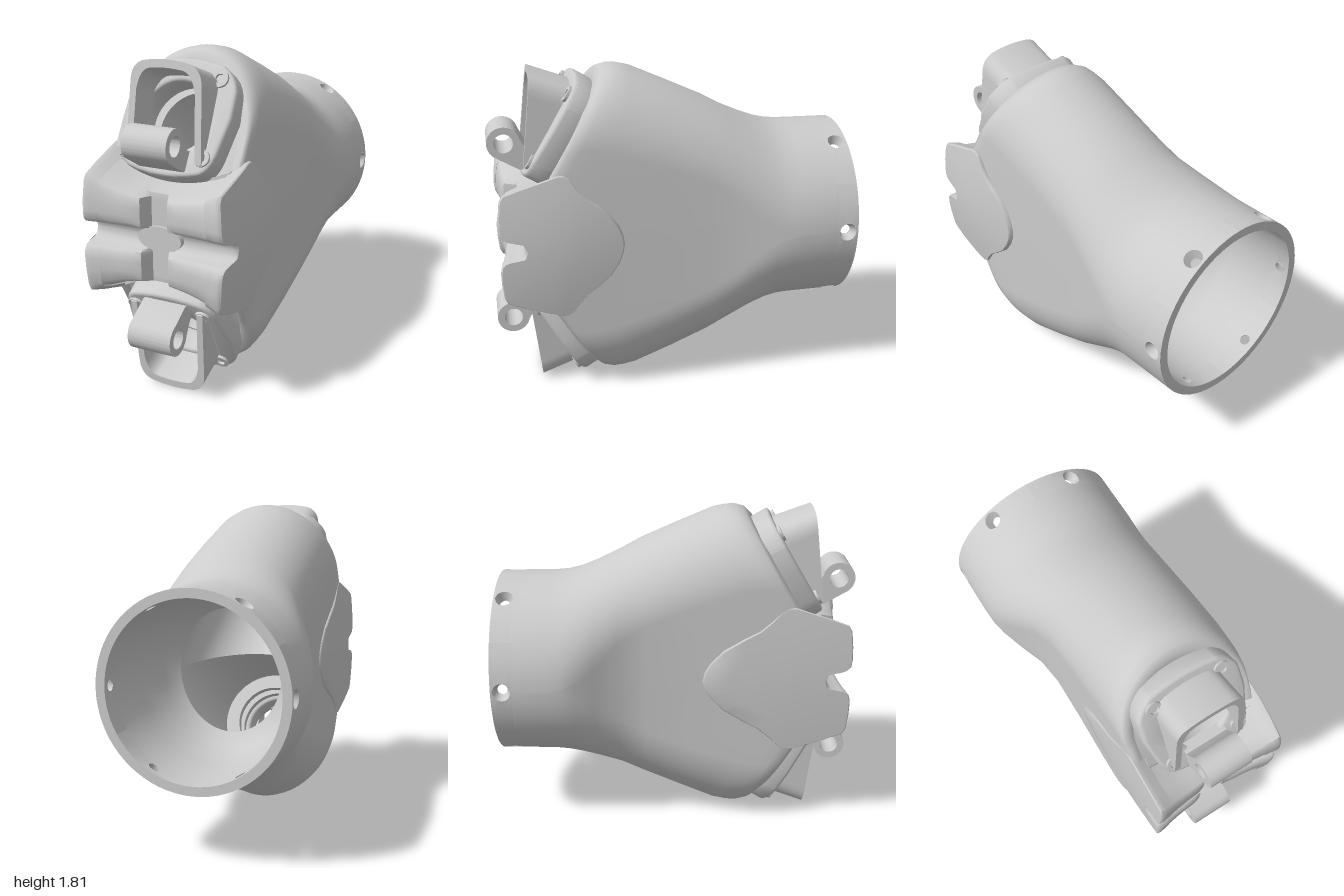
import * as THREE from 'three';
import { mergeVertices, toCreasedNormals } from 'three/addons/utils/BufferGeometryUtils.js';

const MID = 0.905, CX = 0.04, TILT = Math.atan(0.6), BORE = 0.3;
const SIN = Math.sin(TILT), COS = Math.cos(TILT);
const FACE_Y = 0.54, FACE_Z = 0.569;          // centre of an outlet face, y from mid height
const mat = new THREE.MeshStandardMaterial({ color: 0xcccccc });
const thin = new THREE.MeshStandardMaterial({ color: 0xcccccc, side: THREE.DoubleSide });

function add(parent, name, geo, material = mat) {
  const m = new THREE.Mesh(geo, material);
  m.name = name;
  parent.add(m);
  return m;
}

// Surface through f(i, j) for i = 0..nu, j = 0..nv
function grid(nu, nv, f, crease = 0) {
  const pos = [], idx = [];
  for (let j = 0; j <= nv; j++) for (let i = 0; i <= nu; i++) pos.push(...f(i, j));
  for (let j = 0; j < nv; j++) for (let i = 0; i < nu; i++) {
    const a = j * (nu + 1) + i, b = a + nu + 1;
    idx.push(a, a + 1, b, a + 1, b + 1, b);
  }
  let g = new THREE.BufferGeometry();
  g.setAttribute('position', new THREE.Float32BufferAttribute(pos, 3));
  g.setIndex(idx);
  g = mergeVertices(g, 1e-5);
  g.computeVertexNormals();
  return crease ? toCreasedNormals(g, crease) : g;
}

function extrude(shape, depth, bevel = 0) {
  const g = new THREE.ExtrudeGeometry(shape, {
    depth, curveSegments: 24, bevelEnabled: bevel > 0, bevelSize: bevel, bevelThickness: bevel, bevelOffset: -bevel, bevelSegments: 3,
  });
  return toCreasedNormals(g, 0.6);
}

const hole = (x, y, r, ry = r) => new THREE.Path().absellipse(x, y, r, ry, 0, Math.PI * 2, true);

function ring(outer, inner, depth) {
  const s = new THREE.Shape().absarc(0, 0, outer, 0, Math.PI * 2);
  s.holes.push(hole(0, 0, inner));
  return extrude(s, depth);
}

// Point of the body section: two half circles joined by straight sides
function stadium(i, w, h) {
  const k = i % 88, s = k < 44 ? 1 : -1, q = k % 44;
  let x = w, y;
  if (q < 4) y = (h - w) * q / 4;
  else if (q <= 40) {
    const a = Math.PI * (q - 4) / 36;
    x = w * Math.cos(a); y = h - w + w * Math.sin(a);
  } else { x = -w; y = (h - w) * (44 - q) / 4; }
  return [x * s, y * s];
}

const slopeZ = y => Math.min(0.8, 0.41 + 0.6 * (0.805 - Math.abs(y)));

function buildBody(body) {
  // z, left edge, right edge, half height, amount of slant towards the outlet faces
  const rows = [
    [-0.88, -0.52, 0.52, 0.52, 0], [-0.7, -0.52, 0.52, 0.522, 0], [-0.62, -0.515, 0.513, 0.53, 0],
    [-0.55, -0.497, 0.503, 0.547, 0], [-0.45, -0.45, 0.485, 0.585, 0], [-0.32, -0.378, 0.465, 0.645, 0],
    [-0.2, -0.347, 0.45, 0.71, 0.1], [0, -0.34, 0.44, 0.8, 0.3], [0.2, -0.34, 0.43, 0.887, 0.7],
    [0.27, -0.34, 0.425, 0.902, 0.85], [0.32, -0.34, 0.423, 0.905, 0.9], [0.37, -0.335, 0.417, 0.892, 0.95],
    [0.405, -0.32, 0.4, 0.86, 1], [0.415, -0.28, 0.36, 0.805, 1],
  ];
  add(body, 'ductShell', grid(88, rows.length - 1, (i, j) => {
    const [z, l, r, h, k] = rows[j];
    const [x, y] = stadium(i, (r - l) / 2, h);
    return [x + (l + r) / 2, y, Math.min(0.8, z + 0.6 * k * (h - Math.abs(y)))];
  }), thin);

  // Inner funnel from the collar to the two branches
  const inner = [[-0.88, 0, 0.47, 0.47], [-0.6, 0, 0.465, 0.47], [-0.4, 0.02, 0.39, 0.43], [-0.331, CX, BORE, BORE / COS]];
  add(body, 'innerFunnel', grid(72, 3, (i, j) => {
    const a = i / 36 * Math.PI, [z, x, rx, ry] = inner[j];
    return [x + rx * Math.cos(a), ry * Math.sin(a), z];
  }), thin);

  // Collar band: six sectors, each with a countersunk screw hole
  const patch = (R, r) => grid(32, 4, (i, j) => {
    const hw = R * Math.PI / 6, hh = 0.06, k = i % 32;
    const [x, y] = k < 12 ? [-hw + 2 * hw * k / 12, -hh] : k < 16 ? [hw, -hh + hh * (k - 12) / 2]
      : k < 28 ? [hw - 2 * hw * (k - 16) / 12, hh] : [-hw, hh - hh * (k - 28) / 2];
    const t = j / 4, f = t + (1 - t) * r / Math.hypot(x, y);
    return [R * Math.cos(x * f / R), R * Math.sin(x * f / R), -0.94 + y * f];
  });
  const outer = patch(0.52, 0.05), innerBand = patch(0.47, 0.028);
  const sink = grid(24, 1, (i, j) => {
    const a = i / 12 * Math.PI, r = j ? 0.028 : 0.05, R = j ? 0.468 : 0.52, s = r * Math.cos(a) / R;
    return [R * Math.cos(s), R * Math.sin(s), -0.94 + r * Math.sin(a)];
  });
  for (let n = 0; n < 6; n++) {
    for (const [name, g] of [['collarOuter', outer], ['collarInner', innerBand], ['screwHole', sink]])
      add(body, name, g, thin).rotation.z = n * Math.PI / 3;
  }
  add(body, 'collarRim', new THREE.RingGeometry(0.47, 0.52, 72).rotateY(Math.PI).translate(0, 0, -1));
}

function buildOutlet() {
  const g = new THREE.Group();

  // Slanted end face with the branch opening
  const face = new THREE.Shape();
  face.moveTo(0.32, 0);
  face.lineTo(0.32, 0.155);
  face.absarc(0, 0.485, 0.32, 0, Math.PI);
  face.lineTo(-0.32, 0.155);
  face.lineTo(-0.32, 0);
  face.holes.push(hole(0, FACE_Y, 0.27, 0.27 * COS));
  const fg = new THREE.ShapeGeometry(face, 36), p = fg.attributes.position;
  for (let i = 0; i < p.count; i++) p.setZ(i, slopeZ(p.getY(i)));
  fg.computeVertexNormals();
  add(g, 'endFace', fg.translate(CX, 0, 0), thin);

  // Branch tunnel, trimmed where it meets its twin and the funnel
  add(g, 'branchTunnel', grid(72, 8, (i, j) => {
    const a = i / 36 * Math.PI, s = BORE * Math.sin(a);
    const end = Math.max(-(FACE_Y + s * COS) / SIN, (-0.331 - FACE_Z + s * SIN) / COS), t = end * j / 8;
    return [CX + BORE * Math.cos(a), FACE_Y + s * COS + t * SIN, FACE_Z - s * SIN + t * COS];
  }), thin);

  // Parts that sit square on the slanted face
  const tilted = new THREE.Group();
  tilted.name = 'outletFittings';
  tilted.position.set(CX, FACE_Y, FACE_Z);
  tilted.rotation.x = -TILT;
  g.add(tilted);

  const fl = new THREE.Shape();
  fl.moveTo(-0.19, -0.29);
  fl.quadraticCurveTo(0, -0.34, 0.19, -0.29);
  fl.quadraticCurveTo(0.25, -0.27, 0.27, -0.18);
  fl.lineTo(0.305, 0.02);
  fl.lineTo(0.3, 0.16);
  fl.quadraticCurveTo(0.28, 0.24, 0.2, 0.29);
  fl.quadraticCurveTo(0, 0.34, -0.2, 0.29);
  fl.quadraticCurveTo(-0.28, 0.24, -0.3, 0.16);
  fl.lineTo(-0.305, 0.02);
  fl.lineTo(-0.27, -0.18);
  fl.quadraticCurveTo(-0.25, -0.27, -0.19, -0.29);
  fl.holes.push(hole(0, 0, 0.19));
  add(tilted, 'flange', extrude(fl, 0.1, 0.02));

  for (const z of [-0.07, -0.18]) add(tilted, 'innerStep', ring(BORE, 0.215, 0.04)).position.z = z;

  // Sloping U-shaped shroud, open towards the hinge lug and wider at its root
  const u = new THREE.Shape();
  u.moveTo(-0.215, -0.24);
  u.lineTo(-0.2, 0.1);
  u.quadraticCurveTo(-0.2, 0.19, -0.12, 0.205);
  u.quadraticCurveTo(0, 0.225, 0.12, 0.205);
  u.quadraticCurveTo(0.2, 0.19, 0.2, 0.1);
  u.lineTo(0.215, -0.24);
  u.lineTo(0.18, -0.24);
  u.lineTo(0.165, 0.07);
  u.quadraticCurveTo(0.15, 0.155, 0.1, 0.17);
  u.quadraticCurveTo(0, 0.185, -0.1, 0.17);
  u.quadraticCurveTo(-0.15, 0.155, -0.165, 0.07);
  u.lineTo(-0.18, -0.24);
  const sg = new THREE.ExtrudeGeometry(u, { depth: 1, bevelEnabled: false, curveSegments: 10 });
  const sp = sg.attributes.position;
  for (let i = 0; i < sp.count; i++) {
    const y = sp.getY(i), top = sp.getZ(i) > 0.5;
    sp.setZ(i, top ? 0.25 + 0.45 * y : 0.08);
    if (!top && y > 0) sp.setY(i, y * 1.25);
  }
  add(tilted, 'shroud', toCreasedNormals(sg, 0.6));

  for (const x of [-0.2, 0.2]) for (const y of [-0.2, 0.215])
    add(tilted, 'screwBoss', ring(0.045, 0.024, 0.04)).position.set(x, y, 0.095);

  // Hinge lug with pin hole
  const lug = new THREE.Shape();
  lug.moveTo(0.72, 0.45);
  lug.lineTo(0.72, 0.37);
  lug.lineTo(0.83, 0.365);
  lug.absarc(0.91, 0.515, 0.09, -0.9, 2.9);
  lug.lineTo(0.78, 0.46);
  lug.holes.push(hole(0.91, 0.515, 0.052));
  add(g, 'hingeLug', extrude(lug, 0.25).rotateY(-Math.PI / 2).translate(0.165, 0, 0));
  return g;
}

function buildPad(pad) {
  // Half of the side outline (z, y), from the front notch to the rounded back
  const half = [[0.83, 0], [0.84, 0.035], [0.865, 0.053], [0.92, 0.058], [0.95, 0.068], [0.968, 0.09], [0.974, 0.13],
    [0.972, 0.2], [0.962, 0.285], [0.945, 0.315], [0.85, 0.35], [0.72, 0.39], [0.65, 0.412], [0.62, 0.412],
    [0.59, 0.393], [0.555, 0.34], [0.51, 0.285], [0.45, 0.24], [0.38, 0.18], [0.33, 0.105], [0.308, 0.05], [0.3, 0]];
  const loop = half.concat(half.slice(1, -1).reverse().map(([z, y]) => [z, -y]));
  // Stations across the width and the shrink of the outline; the last ones close the side
  const side = [[0.07, 1], [0.12, 1], [0.19, 1], [0.3, 1], [0.45, 1], [0.6, 1], [0.77, 1], [0.79, 1], [0.9, 1],
    [0.95, 0.997], [0.985, 0.985], [1, 0.965], [1, 0.7], [1, 0.35], [1, 0]];
  const stations = [...side.map(([x, s]) => [-x, s]).reverse(), [0, 1], ...side];
  add(pad, 'padBlock', grid(loop.length, stations.length - 1, (i, j) => {
    const [x, inset] = stations[j], [z0, y0] = loop[i % loop.length];
    const e = Math.abs(x), mid = 1 - x * x, wing = e > 0.78, right = x > 0;
    let z = 0.64 + (z0 - 0.64) * inset;
    const lift = THREE.MathUtils.smoothstep(Math.abs(y0), 0.07, 0.35);
    const tall = right ? 0 : 0.05 * x * x;
    const y = y0 * inset * (1 + (tall - 0.31 * mid) * lift);      // waisted around the outlets
    if (z > 0.84) z -= 0.04 * mid * (z - 0.84) / 0.13;            // hollowed front
    z = Math.min(z, e < 0.13 ? 0.85 : e < 0.2 ? 0.92 : 1);        // upright groove
    if (!wing) z = Math.max(z, 0.72);                             // only the wings reach back
    else if (!right && z < 0.62) z = 0.62 - 1.5 * (0.62 - z);     // one wing is longer
    let px = 0.055 + 0.415 * x - 0.015 * mid;
    if (wing) {                                                   // wings follow the curve of the body
      const lean = Math.min(1, (y / 0.42) ** 2);
      px += right ? 0.01 - 0.25 * (z - 0.6) ** 2 - 0.045 * lean : 0.05 * (z - 0.6) ** 2 + 0.02 * lean;
    }
    return [px, y, z];
  }, 0.7), thin);
  const disc = new THREE.CylinderGeometry(1, 1, 0.06, 48).rotateX(Math.PI / 2).scale(0.125, 0.068, 1);
  add(pad, 'padCentre', disc.translate(CX, 0, 0.835));
}

export function createModel() {
  const model = new THREE.Group();
  model.name = 'twinOutletDuct';
  const body = new THREE.Group(), pad = new THREE.Group();
  body.name = 'body';
  pad.name = 'frontPad';
  body.position.y = pad.position.y = MID;
  buildBody(body);
  buildPad(pad);
  model.add(body, pad);
  // Upper outlet and its mirror image below
  for (const s of [1, -1]) {
    const o = buildOutlet();
    o.name = s > 0 ? 'upperOutlet' : 'lowerOutlet';
    o.position.y = MID;
    o.scale.y = s;
    model.add(o);
  }
  return model;
}
